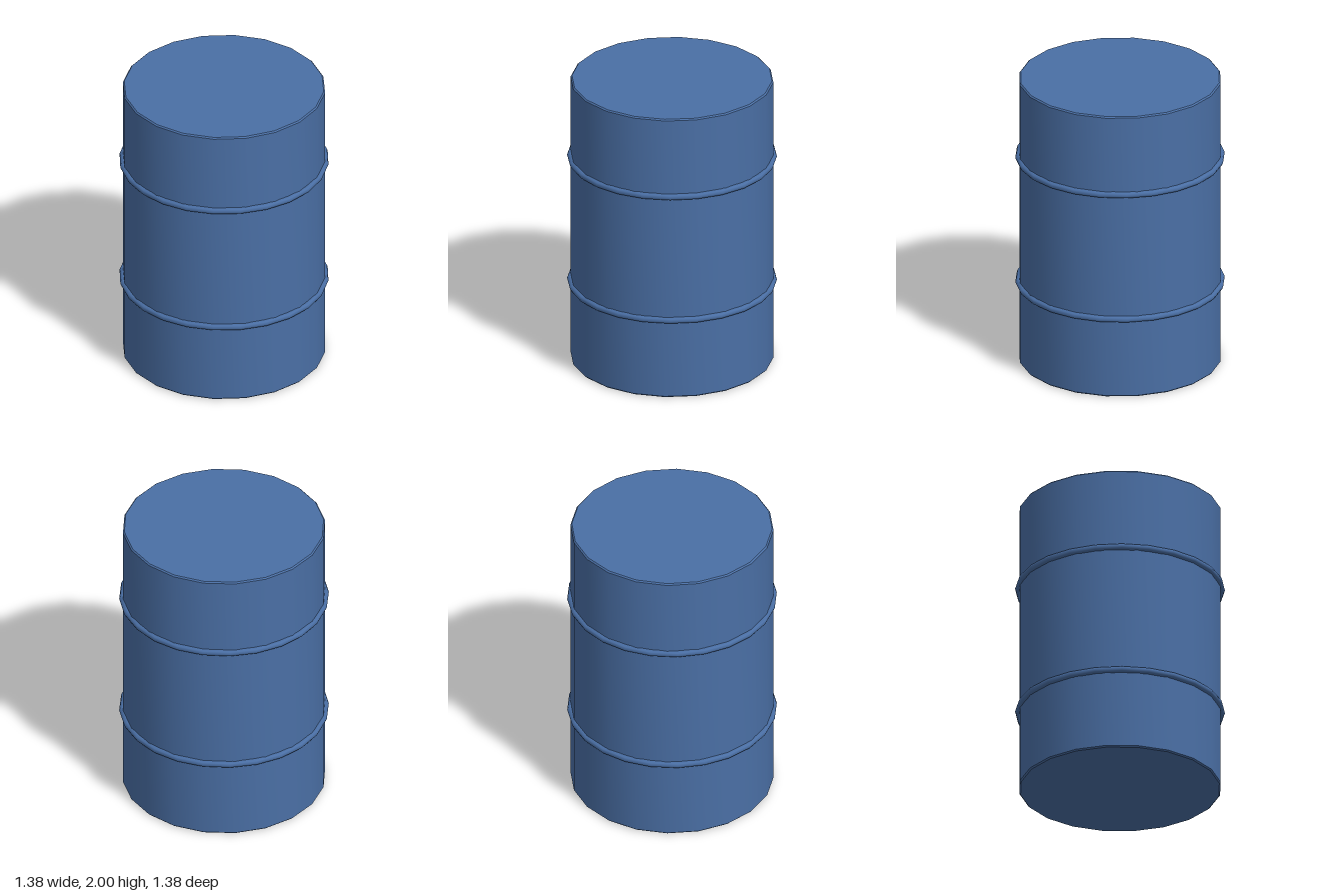
import * as THREE from 'three';
import { toCreasedNormals } from 'three/addons/utils/BufferGeometryUtils.js';

const RADIUS = 0.667, HEIGHT = 2, BEVEL = 0.009;

export function createModel() {
  const model = new THREE.Group();
  model.name = 'barrel';
  const bluePaint = new THREE.MeshStandardMaterial({ color: 0x4a6fa5 });
  bluePaint.name = 'blue paint';

  // Closed drum body with narrow bevelled rims
  const profile = [
    [0, 0], [RADIUS - BEVEL, 0], [RADIUS, BEVEL],
    [RADIUS, HEIGHT - BEVEL], [RADIUS - BEVEL, HEIGHT], [0, HEIGHT],
  ].map(([x, y]) => new THREE.Vector2(x, y));
  const bodyGeometry = toCreasedNormals(new THREE.LatheGeometry(profile, 20), THREE.MathUtils.degToRad(30));
  const body = new THREE.Mesh(bodyGeometry, bluePaint);
  body.name = 'drumBody';
  model.add(body);

  // Two rolling hoops around the body
  const hoopGeometry = new THREE.TorusGeometry(RADIUS, 0.022, 8, 24).rotateX(Math.PI / 2);
  for (const [name, y] of [['lowerHoop', 0.556], ['upperHoop', 1.444]]) {
    const hoop = new THREE.Mesh(hoopGeometry, bluePaint);
    hoop.name = name;
    hoop.position.y = y;
    model.add(hoop);
  }
  return model;
}
